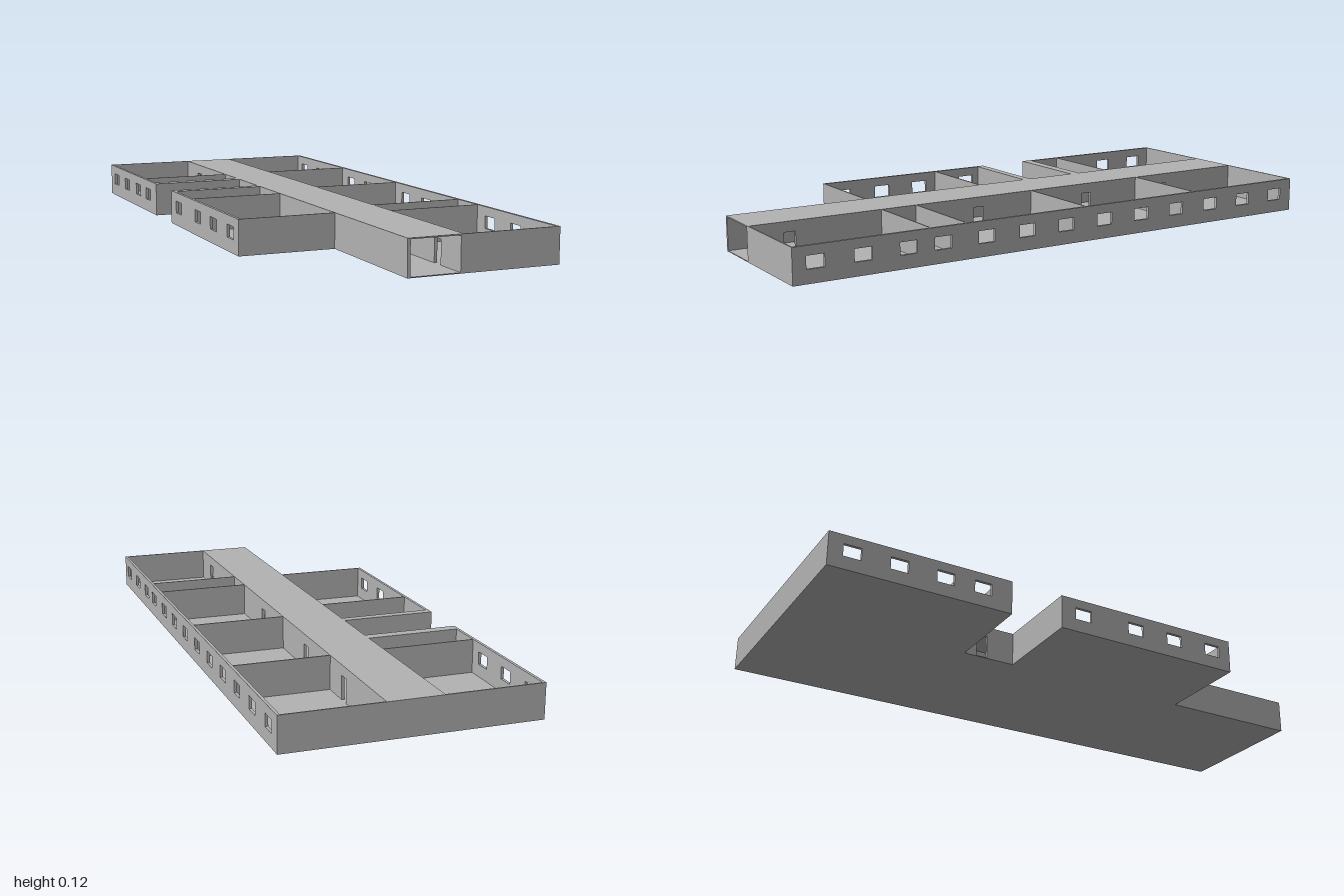
import * as THREE from 'three';

const H = 0.118, FLOOR = 0.003, ROOF = 0.004;

export function createModel() {
  const model = new THREE.Group();
  model.name = 'schoolWing';
  const concrete = new THREE.MeshStandardMaterial({ color: 0xb2b2b2 });
  concrete.name = 'concrete grey';

  function add(name, geometry) {
    const mesh = new THREE.Mesh(geometry, concrete);
    mesh.name = name;
    model.add(mesh);
  }

  // Box given by its limits on each axis
  function block(name, x0, x1, y0, y1, z0, z1) {
    const g = new THREE.BoxGeometry(x1 - x0, y1 - y0, z1 - z0);
    g.translate((x0 + x1) / 2, (y0 + y1) / 2, (z0 + z1) / 2);
    add(name, g);
  }

  // Wall running along z, pierced by equal openings centred on the given z values
  function piercedWall(name, x0, x1, z0, z1, top, openings, width, sill, head) {
    const rect = (path, a, b, c, d) =>
      path.moveTo(a, c).lineTo(b, c).lineTo(b, d).lineTo(a, d).closePath();
    const shape = new THREE.Shape();
    rect(shape, z0, z1, 0, top);
    for (const z of openings) {
      const hole = new THREE.Path();
      rect(hole, z - width / 2, z + width / 2, sill, head);
      shape.holes.push(hole);
    }
    const g = new THREE.ExtrudeGeometry(shape, { depth: x1 - x0, bevelEnabled: false });
    g.rotateY(-Math.PI / 2);
    g.translate(x1, 0, 0);
    add(name, g);
  }
  const windowWall = (name, x0, x1, z0, z1, zs) =>
    piercedWall(name, x0, x1, z0, z1, H, zs, 0.06, 0.045, 0.087);
  const doorWall = (name, x0, x1, zs) =>
    piercedWall(name, x0, x1, -1, 1, H - ROOF, zs, 0.04, FLOOR, 0.083);

  // Floors
  block('corridorFloor', -0.094, 0.092, 0, FLOOR, -1, 1);
  block('leftRoomsFloor', 0.092, 0.424, 0, FLOOR, -1, 1);
  block('rightBackRoomsFloor', -0.424, -0.094, 0, FLOOR, -1, -0.37);
  block('rightFrontRoomsFloor', -0.424, -0.094, 0, FLOOR, -0.185, 0.5);

  // Corridor: roof, two walls with doorways, closed at the back, open at the front
  block('corridorRoof', -0.094, 0.092, H - ROOF, H, -1, 1);
  doorWall('corridorLeftWall', 0.082, 0.092, [-0.66, -0.305, 0.155, 0.48, 0.86]);
  doorWall('corridorRightWall', -0.094, -0.084, [-0.84, -0.49, -0.305, -0.055, 0.4]);
  block('corridorBackWall', -0.084, 0.082, FLOOR, H - ROOF, -1, -0.995);

  // Outer walls with windows
  windowWall('leftOuterWall', 0.414, 0.424, -1, 1,
    [-0.92, -0.764, -0.609, -0.452, -0.298, -0.14, 0.018, 0.173, 0.328, 0.489, 0.612, 0.767, 0.925]);
  windowWall('rightBackOuterWall', -0.424, -0.414, -1, -0.37, [-0.92, -0.764, -0.606, -0.474]);
  windowWall('rightFrontOuterWall', -0.424, -0.414, -0.185, 0.5, [-0.1, 0.107, 0.265, 0.425]);

  // Cross walls between and at the ends of the rooms, as [z start, z end]
  const leftWalls = [[-1, -0.995], [-0.538, -0.533], [-0.068, -0.063],
    [0.397, 0.402], [0.528, 0.532], [0.995, 1]];
  const rightWalls = [[-1, -0.995], [-0.533, -0.529], [-0.407, -0.37],
    [-0.185, -0.155], [0.032, 0.037], [0.495, 0.5]];
  for (const [a, b] of leftWalls) block('leftCrossWall', 0.092, 0.414, FLOOR, H, a, b);
  for (const [a, b] of rightWalls) block('rightCrossWall', -0.414, -0.094, FLOOR, H, a, b);

  return model;
}
